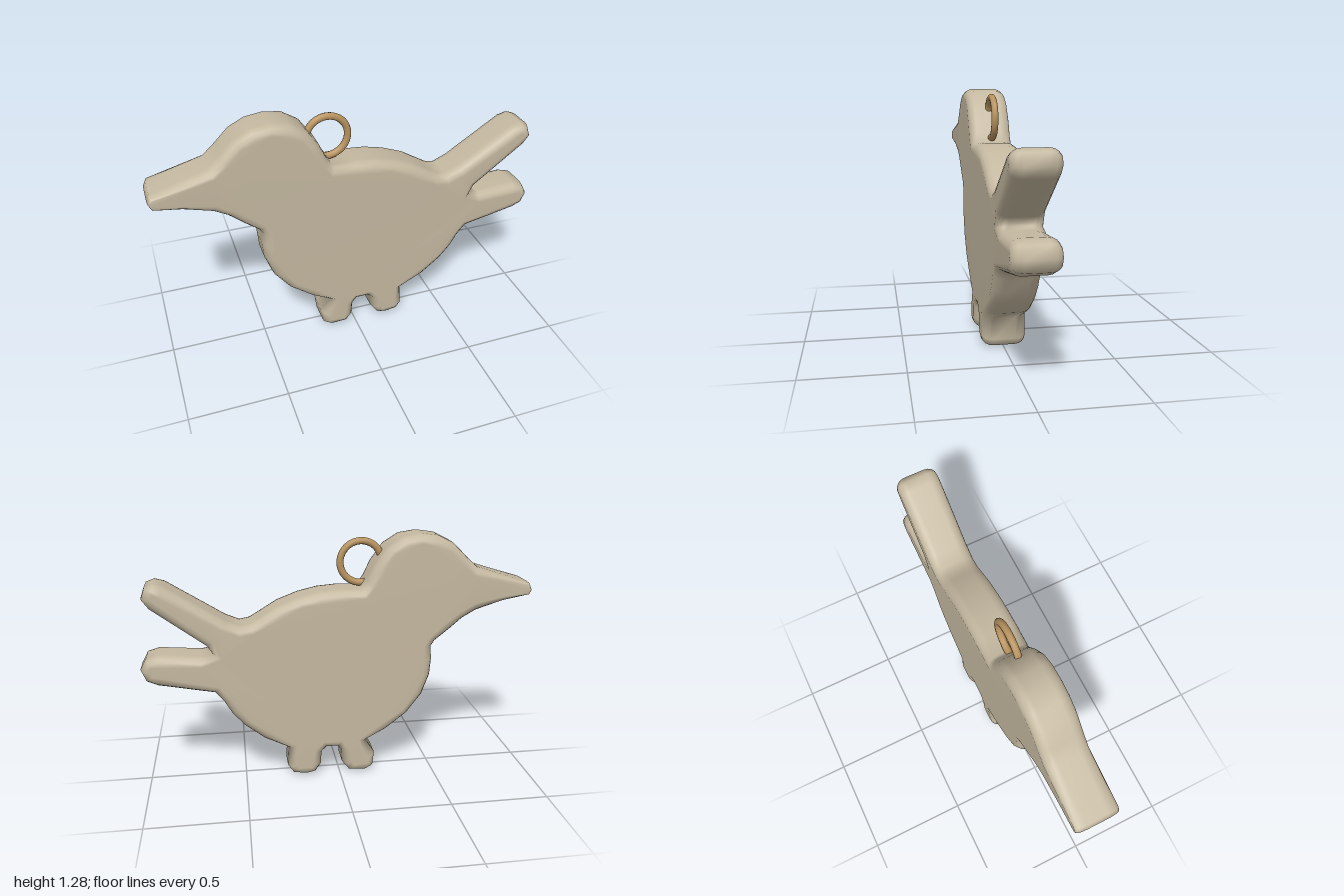
import * as THREE from 'three';

// Bird silhouette, clockwise from the beak tip
const OUTLINE = [
  // beak and head
  -0.985, 1.018, -0.71, 1.105, -0.65, 1.16, -0.58, 1.23, -0.5, 1.27, -0.41, 1.283,
  -0.32, 1.27, -0.24, 1.22, -0.175, 1.13, -0.14, 1.055, -0.11, 1.01,
  // back
  0, 1.013, 0.1, 1.005, 0.2, 0.982, 0.31, 0.94, 0.4, 0.885, 0.45, 0.855, 0.5, 0.845,
  // upper tail feather
  0.57, 0.875, 0.86, 1.06, 0.91, 1.073, 0.95, 1.058, 0.97, 1.0, 0.935, 0.95, 0.67, 0.75, 0.64, 0.705,
  // lower tail feather
  0.7, 0.695, 0.91, 0.712, 0.97, 0.695, 1.0, 0.64, 0.975, 0.58, 0.92, 0.555, 0.64, 0.5,
  // rump and belly
  0.6, 0.45, 0.56, 0.38, 0.5, 0.31, 0.4, 0.23, 0.27, 0.165,
  // left and right feet with the gap between them
  0.278, 0.055, 0.25, 0.015, 0.18, 0.003, 0.13, 0.015, 0.1, 0.06, 0.095, 0.13, 0.07, 0.155,
  0.01, 0.155, -0.01, 0.125, -0.015, 0.055, -0.05, 0.01, -0.14, 0.005, -0.182, 0.03, -0.19, 0.1, -0.14, 0.185,
  // breast and throat
  -0.25, 0.24, -0.36, 0.325, -0.44, 0.43, -0.48, 0.54, -0.487, 0.63, -0.48, 0.695, -0.5, 0.725,
  -0.57, 0.78, -0.64, 0.84, -0.71, 0.88, -0.85, 0.925, -0.985, 0.955, -1.0, 0.985,
];

// Slab with rounded rims; the rounding gets smaller toward the beak tip
function roundedSlab(flat) {
  const pts = [];
  for (let i = 0; i < flat.length; i += 2) pts.push(new THREE.Vector2(flat[i], flat[i + 1]));
  pts.reverse();
  const n = pts.length;
  const outward = pts.map((p, i) => {
    const a = pts[(i + n - 1) % n], b = pts[(i + 1) % n];
    const d1 = p.clone().sub(a).normalize(), d2 = b.clone().sub(p).normalize();
    const t = d1.add(d2).normalize();
    return new THREE.Vector2(t.y, -t.x);
  });
  const inset = (p) => 0.045 * THREE.MathUtils.clamp((p.x + 1.08) / 0.35, 0.25, 1);

  // Quarter-round rim profile, mirrored front to back
  const steps = 4, half = [];
  for (let k = 0; k <= steps; k++) {
    const a = (k / steps) * Math.PI / 2;
    half.push([0.055 + 0.055 * Math.sin(a), 1 - Math.cos(a)]);
  }
  const profile = [...half.map(([z, s]) => [-z, s]).reverse(), ...half];

  const pos = [], index = [];
  profile.forEach(([z, s]) => pts.forEach((p, i) => {
    const d = s * inset(p);
    pos.push(p.x - outward[i].x * d, p.y - outward[i].y * d, z);
  }));
  for (let k = 0; k < profile.length - 1; k++) {
    for (let i = 0; i < n; i++) {
      const j = (i + 1) % n, a = k * n + i, b = k * n + j;
      index.push(a, b, a + n, b, b + n, a + n);
    }
  }
  // Front and back faces
  const last = (profile.length - 1) * n;
  const rim = pts.map((_, i) => new THREE.Vector2(pos[(last + i) * 3], pos[(last + i) * 3 + 1]));
  for (const [a, b, c] of THREE.ShapeUtils.triangulateShape(rim, [])) {
    index.push(last + a, last + b, last + c, c, b, a);
  }
  const geo = new THREE.BufferGeometry();
  geo.setAttribute('position', new THREE.Float32BufferAttribute(pos, 3));
  geo.setIndex(index);
  geo.computeVertexNormals();
  return geo;
}

export function createModel() {
  const clay = new THREE.MeshStandardMaterial({ color: 0xc4b8a0 });
  clay.name = 'clay';
  const brass = new THREE.MeshStandardMaterial({ color: 0xb8935f });
  brass.name = 'brass';

  const model = new THREE.Group();
  model.name = 'birdPendant';

  const bird = new THREE.Mesh(roundedSlab(OUTLINE), clay);
  bird.name = 'birdBody';
  model.add(bird);

  // Hanging ring sunk into the nape
  const ring = new THREE.Mesh(new THREE.TorusGeometry(0.106, 0.018, 10, 40), brass);
  ring.name = 'hangingRing';
  ring.position.set(-0.118, 1.137, 0);
  model.add(ring);

  return model;
}
